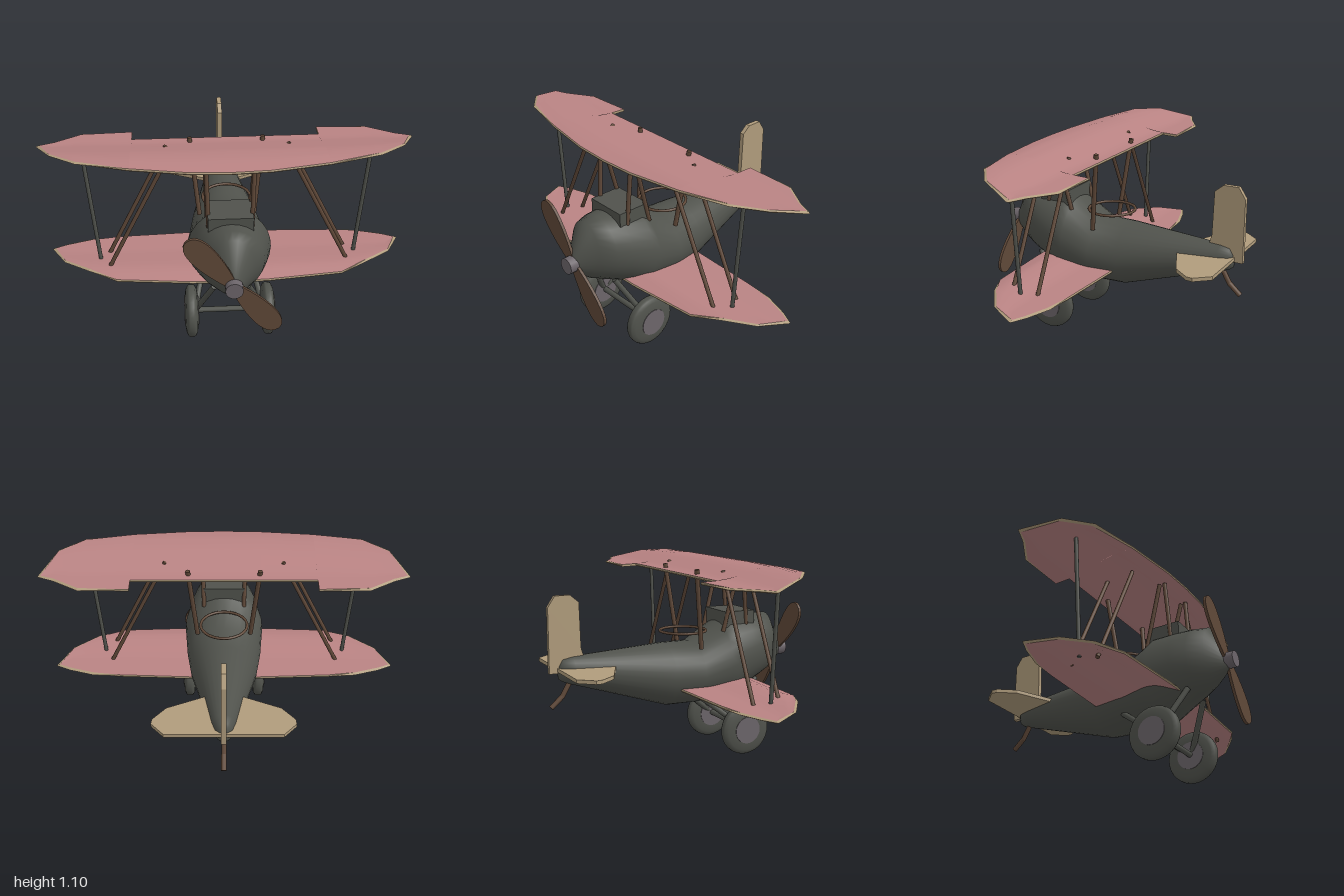
import * as THREE from 'three';

const mat = (name, color, side = THREE.FrontSide) => {
  const m = new THREE.MeshStandardMaterial({ color, side });
  m.name = name;
  return m;
};
const grey = mat('dark grey', 0x50524c);
const pink = mat('wing pink', 0xb98383);
const tan = mat('tan', 0xb09c7c, THREE.DoubleSide);
const brown = mat('wood brown', 0x5f4838);
const metal = mat('hub grey', 0x6c656a);

const V = (x, y, z) => new THREE.Vector3(x, y, z);

function add(group, name, geo, material) {
  const mesh = new THREE.Mesh(geo, material);
  mesh.name = name;
  group.add(mesh);
  return mesh;
}

// Round bar between two points
function rod(group, name, a, b, r, material) {
  const d = b.clone().sub(a);
  const m = add(group, name, new THREE.CylinderGeometry(r, r, d.length(), 10), material);
  m.position.copy(a).add(b).multiplyScalar(0.5);
  m.quaternion.setFromUnitVectors(V(0, 1, 0), d.normalize());
}

function surface(points, index) {
  const g = new THREE.BufferGeometry();
  g.setAttribute('position', new THREE.Float32BufferAttribute(points.flat(), 3));
  g.setIndex(index);
  g.computeVertexNormals();
  return g;
}

// Body lofted through elliptical stations: z, half width, top, bottom
function fuselage() {
  const st = [
    [0.69, 0.001, 0.56, 0.558], [0.69, 0.035, 0.61, 0.505], [0.6, 0.115, 0.775, 0.435],
    [0.52, 0.17, 0.777, 0.4], [0.435, 0.197, 0.777, 0.36], [0.31, 0.225, 0.773, 0.29],
    [0.27, 0.224, 0.742, 0.29], [0.11, 0.21, 0.645, 0.29], [-0.06, 0.186, 0.645, 0.29],
    [-0.6, 0.064, 0.615, 0.46], [-0.655, 0.045, 0.605, 0.48], [-0.675, 0.022, 0.575, 0.495],
    [-0.68, 0.001, 0.54, 0.538]];
  const n = 28, pts = [], idx = [];
  st.forEach(([z, w, t, b], i) => {
    for (let j = 0; j < n; j++) {
      const a = (j / n) * Math.PI * 2;
      pts.push([w * Math.cos(a), (t + b) / 2 + ((t - b) / 2) * Math.sin(a), z]);
      if (i === st.length - 1) continue;
      const p = i * n + j, q = i * n + ((j + 1) % n);
      idx.push(p, p + n, q, q, p + n, q + n);
    }
  });
  return surface(pts, idx);
}

// Cambered wing: half-span stations (x, front z, back z) and camber points (z, y)
function wing(name, half, camber) {
  const group = new THREE.Group();
  group.name = name;
  const height = (z) => {
    for (let i = 0; i < camber.length - 1; i++) {
      const [z0, y0] = camber[i], [z1, y1] = camber[i + 1];
      if (z >= z1 || i === camber.length - 2) return y0 + ((y1 - y0) * (z0 - z)) / (z0 - z1);
    }
  };
  const st = [...half.slice(1).reverse().map(([x, f, b]) => [-x, f, b]), ...half];
  const span = half[half.length - 1][0], n = 14, t = 0.007;
  // Skin edges are pulled in from the outline, more so near the tips
  const inset = ([x, f, b]) => {
    const ins = Math.abs(x) > 0.7 ? 0.016 : 0.004;
    const c = (f + b) / 2, h = Math.max((f - b) / 2 - ins, 0);
    return [Math.abs(x) === span ? x * 0.984 : x, c + h, c - h];
  };
  for (const s of [1, -1]) {
    const pts = [], idx = [];
    st.map(inset).forEach(([x, f, b], i) => {
      for (let j = 0; j <= n; j++) {
        const z = f + ((b - f) * j) / n;
        pts.push([x, height(z) + s * t, z]);
        if (i === st.length - 1 || j === n) continue;
        const p = i * (n + 1) + j, q = p + n + 1;
        if (s > 0) idx.push(p, q, p + 1, p + 1, q, q + 1);
        else idx.push(p, p + 1, q, p + 1, q + 1, q);
      }
    });
    add(group, s > 0 ? 'upperSkin' : 'lowerSkin', surface(pts, idx), pink);
  }
  // Tan edging around the outline
  const ring = (list) => [...list.map(([x, f]) => [x, f]), ...list.map(([x, , b]) => [x, b]).reverse()];
  const outer = ring(st), inner = ring(st.map(inset)), pts = [], idx = [], m = outer.length;
  for (let i = 0; i < m; i++) {
    const [xo, zo] = outer[i], [xi, zi] = inner[i];
    pts.push([xi, height(zi) + t, zi], [xo, height(zo), zo], [xi, height(zi) - t, zi]);
    const a = i * 3, b = ((i + 1) % m) * 3;
    for (const k of [0, 1]) idx.push(a + k, a + k + 1, b + k, b + k, a + k + 1, b + k + 1);
  }
  const rim = surface(pts, idx).toNonIndexed();
  rim.computeVertexNormals();
  add(group, 'edging', rim, tan);
  return group;
}

// Flat plate from an outline, centred on its thickness
function plate(points, depth) {
  const shape = new THREE.Shape(points.map(([x, y]) => new THREE.Vector2(x, y)));
  return new THREE.ExtrudeGeometry(shape, { depth, bevelEnabled: false }).translate(0, 0, -depth / 2);
}

export function createModel() {
  const model = new THREE.Group();
  model.name = 'biplane';

  add(model, 'fuselage', fuselage(), grey);
  add(model, 'cowlBox', new THREE.BoxGeometry(0.235, 0.09, 0.185), grey).position.set(0, 0.765, 0.368);
  const ring = add(model, 'cockpitRing', new THREE.TorusGeometry(0.13, 0.008, 8, 36), brown);
  ring.rotation.x = Math.PI / 2;
  ring.position.set(0, 0.705, 0.065);

  // Wings
  model.add(wing('upperWing', [
    [0, 0.465, 0], [0.2, 0.457, 0], [0.5, 0.412, 0], [0.5, 0.412, -0.09], [0.77, 0.35, -0.09],
    [0.91, 0.24, 0], [1, 0.05, 0.04],
  ], [[0.47, 1.073], [0.35, 1.092], [0.25, 1.085], [0.06, 1.034], [-0.09, 1.03]]));
  model.add(wing('lowerWing', [
    [0, 0.455, -0.035], [0.2, 0.452, -0.033], [0.6, 0.42, -0.015], [0.75, 0.345, -0.005],
    [0.89, 0.24, 0.04], [0.97, 0.09, 0.08],
  ], [[0.46, 0.405], [0.35, 0.432], [0.28, 0.427], [0.15, 0.406], [-0.035, 0.403]]));

  // Struts and landing gear, mirrored
  for (const s of [1, -1]) {
    rod(model, 'outerStrut', V(0.745 * s, 1.07, 0.215), V(0.695 * s, 0.405, 0.215), 0.011, grey);
    for (const z of [0.295, 0.14])
      rod(model, 'diagonalStrut', V(0.32 * s, 1.067, z), V(0.655 * s, 0.4, z), 0.011, brown);
    rod(model, 'rearCabaneStrut', V(0.195 * s, 1.065, 0.05), V(0.15 * s, 0.62, 0.105), 0.013, brown);
    rod(model, 'frontCabaneStrut', V(0.122 * s, 1.067, 0.385), V(0.112 * s, 0.71, 0.412), 0.012, brown);
    rod(model, 'middleCabaneStrut', V(0.125 * s, 1.067, 0.355), V(0.115 * s, 0.7, 0.262), 0.012, brown);
    rod(model, 'frontGearLeg', V(0.09 * s, 0.41, 0.49), V(0.19 * s, 0.15, 0.355), 0.016, grey);
    rod(model, 'rearGearLeg', V(0.12 * s, 0.35, 0.1), V(0.19 * s, 0.15, 0.355), 0.016, grey);

    const wheel = new THREE.Group();
    wheel.name = 'wheel';
    wheel.position.set(0.21 * s, 0.146, 0.355);
    wheel.rotation.z = Math.PI / 2;
    const side = [[0, -0.037], [0.078, -0.037], [0.12, -0.03], [0.14, -0.02], [0.145, -0.01]];
    const profile = [...side, ...side.map(([r, y]) => [r, -y]).reverse()];
    add(wheel, 'tyre', new THREE.LatheGeometry(profile.map((p) => new THREE.Vector2(...p)), 32), grey);
    add(wheel, 'wheelDisc', new THREE.CylinderGeometry(0.077, 0.077, 0.08, 28), metal);
    model.add(wheel);
  }
  rod(model, 'axle', V(-0.2, 0.15, 0.355), V(0.2, 0.15, 0.355), 0.016, grey);

  // Propeller with two teardrop blades
  const prop = new THREE.Group();
  prop.name = 'propeller';
  prop.position.set(0, 0.558, 0.685);
  prop.rotation.z = 0.69;
  const blade = new THREE.Shape();
  blade.moveTo(-0.02, 0);
  blade.bezierCurveTo(-0.06, 0.12, -0.105, 0.36, 0, 0.362);
  blade.bezierCurveTo(0.105, 0.36, 0.06, 0.12, 0.02, 0);
  for (const turn of [0, Math.PI]) {
    const geo = new THREE.ExtrudeGeometry(blade, { depth: 0.016, bevelEnabled: false, curveSegments: 14 });
    add(prop, 'blade', geo.translate(0, 0, -0.008), brown).rotation.z = turn;
  }
  const hub = add(prop, 'hub', new THREE.CylinderGeometry(0.045, 0.045, 0.052, 20), metal);
  hub.rotation.x = Math.PI / 2;
  hub.position.z = 0.022;
  model.add(prop);

  // Tail: fin outline uses (-z, y), stabiliser outline uses (x, -z)
  const fin = add(model, 'tailFin', plate([
    [0.53, 0.59], [0.55, 0.66], [0.557, 0.905], [0.605, 0.945], [0.69, 0.945], [0.73, 0.885],
    [0.73, 0.53], [0.6, 0.53]], 0.026), tan);
  fin.rotation.y = Math.PI / 2;
  const edge = [[0.08, 0.378], [0.3, 0.48], [0.37, 0.57], [0.373, 0.605], [0.305, 0.685]];
  const stab = add(model, 'stabiliser',
    plate([...edge, ...edge.map(([x, z]) => [-x, z]).reverse()], 0.02), tan);
  stab.rotation.x = -Math.PI / 2;
  stab.position.y = 0.548;

  // Tail skid
  rod(model, 'tailSkid', V(0, 0.5, -0.6), V(0, 0.395, -0.66), 0.014, brown);
  rod(model, 'tailSkid', V(0, 0.402, -0.655), V(0, 0.342, -0.722), 0.014, brown);

  return model;
}
